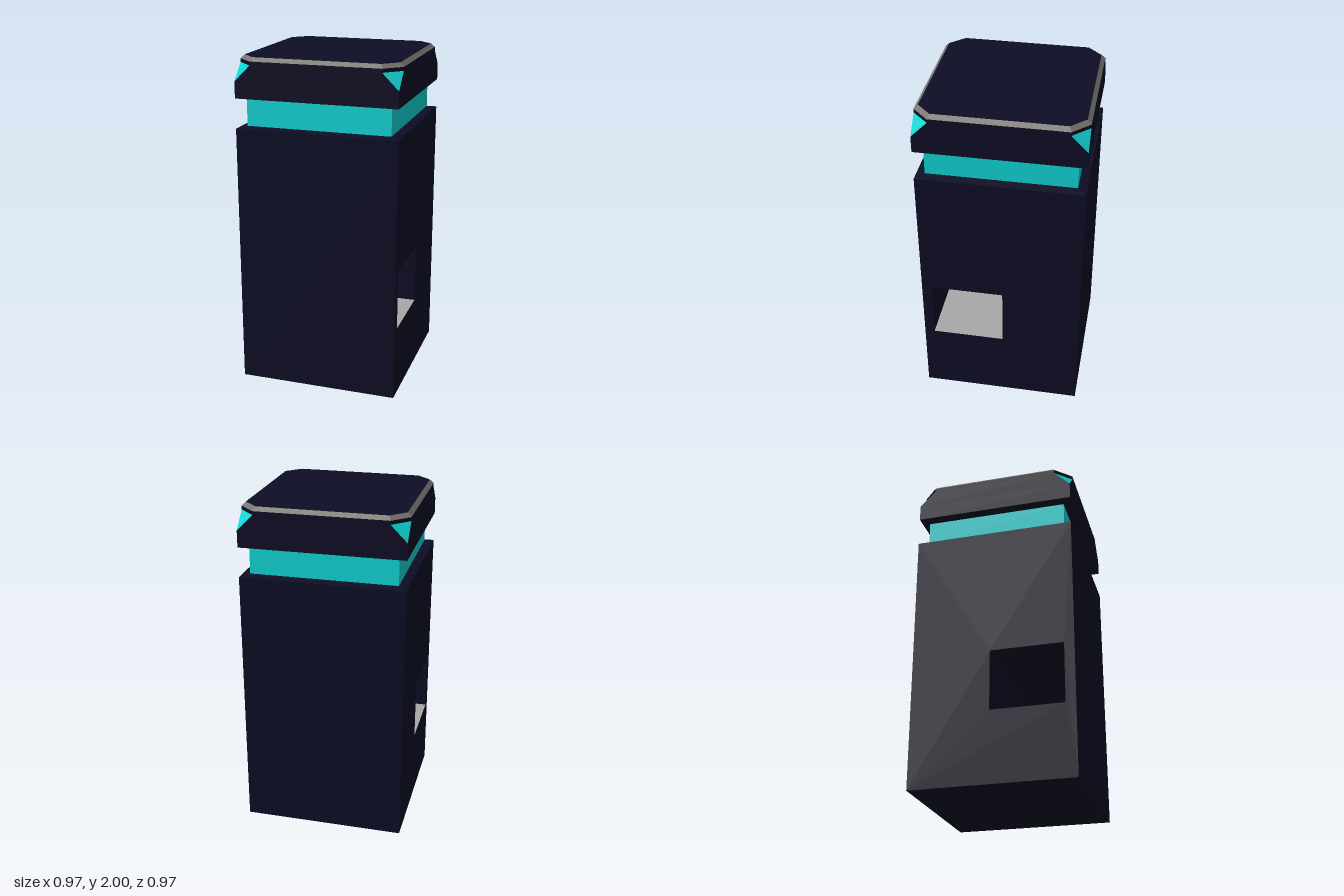
import * as THREE from 'three';

const H = 0.483;      // half width of body and cap
const NECK = 0.432;   // half width of the neck
const CUT = 0.096;    // corner cut of the cap

const mat = (color) => new THREE.MeshStandardMaterial({ color, flatShading: true });

// Square ring of half width h with corners cut by c, anticlockwise from above
function ring([y, h, c]) {
  const pts = [];
  let pair = [[h - c, h], [h, h - c]];
  for (let k = 0; k < 4; k++) {
    pair.forEach(([x, z]) => pts.push([x, y, z]));
    pair = pair.map(([x, z]) => [z, -x]);
  }
  return pts;
}

// Skin between rings; sides picks 'all', 'corners' or 'flats'; ends can be closed
function loft(sections, { sides = () => true, top = false, bottom = false } = {}) {
  const rings = sections.map(ring);
  const pos = [];
  const tri = (...p) => p.forEach((v) => pos.push(...v));
  for (let s = 0; s < rings.length - 1; s++) {
    for (let i = 0; i < 8; i++) {
      if (!sides(i)) continue;
      const j = (i + 1) % 8, lo = rings[s], hi = rings[s + 1];
      tri(lo[i], lo[j], hi[j]);
      tri(lo[i], hi[j], hi[i]);
    }
  }
  const first = rings[0], last = rings[rings.length - 1];
  for (let i = 1; i < 7; i++) {
    if (top) tri(last[0], last[i], last[i + 1]);
    if (bottom) tri(first[0], first[i + 1], first[i]);
  }
  const g = new THREE.BufferGeometry();
  g.setAttribute('position', new THREE.Float32BufferAttribute(pos, 3));
  g.computeVertexNormals();
  return g;
}

const isCorner = (i) => i % 2 === 0;

export function createModel() {
  const group = new THREE.Group();
  const dark = mat(0x0d0d25), teal = mat(0x10d4d4), trim = mat(0x77746f), pale = mat(0xa8a8a8);
  const add = (name, geometry, material) => {
    const mesh = new THREE.Mesh(geometry, material);
    mesh.name = name;
    group.add(mesh);
    return mesh;
  };

  // Body: side outline with a square opening, extruded across the width
  const z0 = -0.013, z1 = 0.423, y0 = 0.43, y1 = 0.795, bodyTop = 1.585;
  const outline = new THREE.Shape([[-H, 0], [H, 0], [H, bodyTop], [-H, bodyTop]].map((p) => new THREE.Vector2(...p)));
  outline.holes.push(new THREE.Path([[z0, y0], [z0, y1], [z1, y1], [z1, y0]].map((p) => new THREE.Vector2(...p))));
  const body = new THREE.ExtrudeGeometry(outline, { depth: 2 * H, bevelEnabled: false });
  body.rotateY(-Math.PI / 2).translate(H, 0, 0);
  add('body', body, dark);

  // Pale floor inside the opening
  const floor = new THREE.PlaneGeometry(2 * H, z1 - z0).rotateX(-Math.PI / 2);
  add('openingFloor', floor, pale).position.set(0, y0 + 0.002, (z0 + z1) / 2);

  // Sloped shoulder and recessed neck band
  add('shoulder', loft([[bodyTop, H, 0], [1.595, NECK, 0]], { top: true }), dark);
  add('neckBand', loft([[1.595, NECK, 0], [1.752, NECK, 0]]), teal);

  // Cap: sloped underside, straight walls, corners cut away towards the top
  add('capBase', loft([[1.752, NECK, 0], [1.762, H, 0], [1.86, H, 0]], { bottom: true }), dark);
  const cutAway = [[1.86, H, 0], [1.956, H, CUT]];
  add('capWalls', loft(cutAway, { sides: (i) => !isCorner(i) }), dark);
  add('cornerAccents', loft(cutAway, { sides: isCorner }), teal);
  add('capRim', loft([[1.956, H, CUT], [1.978, H, CUT]]), dark);

  // Bevelled trim and top plate
  add('topTrim', loft([[1.978, H, CUT], [2, 0.46, 0.084]]), trim);
  add('topPlate', loft([[2, 0.46, 0.084]], { top: true }), dark);

  return group;
}
